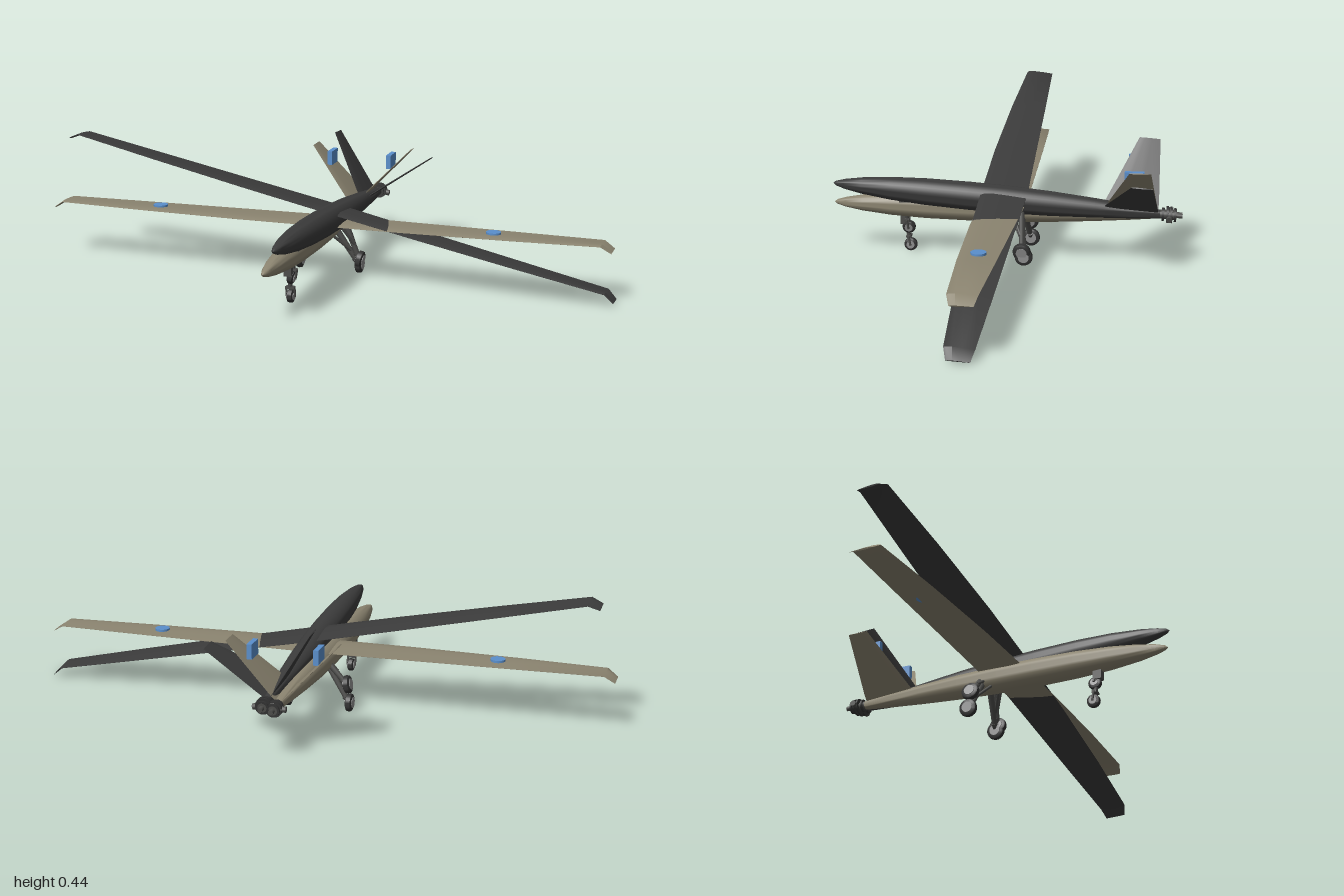
import * as THREE from 'three';
import { toCreasedNormals } from 'three/addons/utils/BufferGeometryUtils.js';

const AXIS = 0.167; // height of the fuselage centre line

function material(name, color) {
  const m = new THREE.MeshStandardMaterial({ color });
  m.name = name;
  return m;
}

function add(group, name, geometry, mat, x = 0, y = 0, z = 0) {
  const mesh = new THREE.Mesh(geometry, mat);
  mesh.name = name;
  mesh.position.set(x, y, z);
  group.add(mesh);
  return mesh;
}

// Aerofoil outline: [chord fraction from the leading edge, half-thickness fraction]
const FOIL = [[1, 0.08], [0.6, 0.75], [0.28, 1], [0.07, 0.6], [0, 0], [0.07, -0.5], [0.28, -0.8], [0.6, -0.6], [1, -0.08]];

// Skin through aerofoil sections listed from -x to +x: {x, y, lead, trail, t, nx, ny}
function loft(sections) {
  const pos = [], idx = [], n = FOIL.length;
  for (const s of sections) {
    for (const [c, h] of FOIL) {
      pos.push(s.x + s.nx * h * s.t, s.y + s.ny * h * s.t, s.lead + (s.trail - s.lead) * c);
    }
  }
  for (let i = 0; i < sections.length - 1; i++) {
    for (let j = 0; j < n; j++) {
      const k = (j + 1) % n, a = i * n + j, b = i * n + k;
      idx.push(a, b, a + n, b, b + n, a + n);
    }
  }
  const last = (sections.length - 1) * n;
  for (let j = 1; j < n - 1; j++) {
    idx.push(0, j + 1, j, last, last + j, last + j + 1);
  }
  const g = new THREE.BufferGeometry();
  g.setAttribute('position', new THREE.Float32BufferAttribute(pos, 3));
  g.setIndex(idx);
  return toCreasedNormals(g, 0.6);
}

// Full span from half-span stations [x, y, lead, trail, t, nx, ny] listed root to tip
function mirrored(half) {
  const section = (side) => ([x, y, lead, trail, t, nx, ny]) => ({ x: x * side, y, lead, trail, t, nx: nx * side, ny });
  return loft([...half.slice(1).reverse().map(section(-1)), ...half.map(section(1))]);
}

// Cylinder between two points
function strut(group, name, from, to, r0, r1, mat) {
  const a = new THREE.Vector3(...from), b = new THREE.Vector3(...to);
  const d = b.clone().sub(a);
  const mesh = add(group, name, new THREE.CylinderGeometry(r1, r0, d.length(), 12), mat);
  mesh.position.copy(a).add(b).multiplyScalar(0.5);
  mesh.quaternion.setFromUnitVectors(new THREE.Vector3(0, 1, 0), d.normalize());
}

function wheel(group, name, x, y, z, r, w, m) {
  const round = [[0, -w / 2], [r * 0.75, -w / 2], [r * 0.95, -w * 0.35], [r, 0], [r * 0.95, w * 0.35], [r * 0.75, w / 2], [0, w / 2]];
  const tyre = new THREE.LatheGeometry(round.map((p) => new THREE.Vector2(...p)), 24).rotateZ(Math.PI / 2);
  add(group, name + 'Tyre', toCreasedNormals(tyre, 0.6), m.rubber, x, y, z);
  add(group, name + 'Hub', new THREE.CylinderGeometry(r * 0.6, r * 0.6, w + 0.004, 20).rotateZ(Math.PI / 2), m.hub, x, y, z);
}

function landingGear(m) {
  const gear = new THREE.Group();
  gear.name = 'landingGear';
  // Nose leg
  strut(gear, 'noseLeg', [0, 0.145, 0.352], [0, 0.055, 0.342], 0.009, 0.007, m.metal);
  add(gear, 'noseLegCollar', new THREE.BoxGeometry(0.026, 0.035, 0.03), m.metal, 0, 0.115, 0.353);
  add(gear, 'noseFork', new THREE.BoxGeometry(0.03, 0.008, 0.016), m.metal, 0, 0.054, 0.341);
  for (const s of [-1, 1]) strut(gear, 'noseForkArm', [s * 0.014, 0.056, 0.341], [s * 0.014, 0.022, 0.335], 0.004, 0.004, m.metal);
  wheel(gear, 'nose', 0, 0.024, 0.335, 0.023, 0.02, m);
  // Main legs
  for (const s of [-1, 1]) {
    strut(gear, 'mainLeg', [s * 0.03, 0.15, -0.055], [s * 0.096, 0.045, -0.068], 0.011, 0.009, m.metal);
    strut(gear, 'mainBrace', [s * 0.025, 0.14, -0.02], [s * 0.08, 0.08, -0.06], 0.005, 0.005, m.metal);
    strut(gear, 'mainAxle', [s * 0.088, 0.05, -0.068], [s * 0.106, 0.031, -0.07], 0.009, 0.006, m.metal);
    wheel(gear, 'main', s * 0.108, 0.031, -0.07, 0.031, 0.022, m);
  }
  return gear;
}

function engine(m) {
  const group = new THREE.Group();
  group.name = 'engine';
  group.position.set(0, AXIS, 0);
  // Crankcase and stacked cooling rings
  const disc = (name, r, len, z, mat) => add(group, name, new THREE.CylinderGeometry(r, r, len, 20).rotateX(Math.PI / 2), mat, 0, 0, z);
  disc('crankcase', 0.015, 0.06, -0.545, m.metal);
  [[0.022, -0.53], [0.027, -0.545], [0.027, -0.558], [0.022, -0.571]].forEach(([r, z]) => disc('coolingRing', r, 0.007, z, m.rubber));
  disc('propellerShaft', 0.008, 0.03, -0.58, m.metal);
  // Opposed cylinders
  for (const s of [-1, 1]) {
    add(group, 'cylinder', new THREE.CylinderGeometry(0.01, 0.01, 0.018, 14).rotateZ(Math.PI / 2), m.metal, s * 0.029, 0, -0.552);
  }
  return group;
}

function aircraft(name, skin, m, pods) {
  const plane = new THREE.Group();
  plane.name = name;
  // Fuselage, listed tail to nose: [radius, z]
  const profile = [[0, -0.522], [0.015, -0.52], [0.024, -0.42], [0.033, -0.3], [0.042, -0.15], [0.047, 0], [0.048, 0.13],
    [0.0455, 0.28], [0.039, 0.4], [0.028, 0.5], [0.017, 0.56], [0.008, 0.59], [0, 0.6]];
  const body = new THREE.LatheGeometry(profile.map((p) => new THREE.Vector2(...p)), 32).rotateX(Math.PI / 2);
  add(plane, 'fuselage', toCreasedNormals(body, 0.6), skin, 0, AXIS, 0);

  // Straight wing with drooped tips
  add(plane, 'wing', mirrored([
    [0, 0.196, 0.086, -0.07, 0.006, 0, 1],
    [0.3, 0.196, 0.084, -0.061, 0.006, 0, 1],
    [0.65, 0.196, 0.072, -0.051, 0.005, 0, 1],
    [0.955, 0.196, 0.054, -0.041, 0.004, 0.3, 0.95],
    [0.99, 0.173, 0.042, -0.032, 0.003, 0.5, 0.86],
  ]), skin);

  // V tail
  add(plane, 'vTail', mirrored([
    [0, AXIS, -0.32, -0.513, 0.004, 0, 1],
    [0.03, 0.198, -0.337, -0.512, 0.004, -0.72, 0.69],
    [0.18, 0.356, -0.425, -0.496, 0.0025, -0.72, 0.69],
  ]), skin);

  plane.add(engine(m), landingGear(m));

  // Blue markers on the wings and tail fins
  if (pods) {
    for (const s of [-1, 1]) {
      add(plane, 'wingDisc', new THREE.CylinderGeometry(0.025, 0.025, 0.014, 28), m.blue, s * 0.595, 0.2, 0.012);
      add(plane, 'finBlock', new THREE.BoxGeometry(0.017, 0.05, 0.065), m.blue, s * 0.11, 0.317, -0.438);
    }
  }
  return plane;
}

export function createModel() {
  const m = {
    khaki: material('khaki', 0x8b8470),
    charcoal: material('charcoal', 0x3b3b3b),
    metal: material('darkMetal', 0x4c4c4a),
    rubber: material('rubber', 0x333333),
    hub: material('hubGrey', 0x8e8e8e),
    blue: material('blue', 0x5a8fcc),
  };
  const model = new THREE.Group();
  model.name = 'twoAircraft';

  // Level aircraft
  const level = aircraft('levelAircraft', m.khaki, m, true);
  level.position.x = -0.01;

  // Banked aircraft, nose slightly raised, turning about its fuselage centre
  const banked = new THREE.Group();
  banked.name = 'bankedAircraft';
  const inner = aircraft('bankedAirframe', m.charcoal, m, false);
  inner.position.y = -AXIS;
  banked.add(inner);
  banked.position.set(0.024, 0.208, -0.003);
  banked.rotation.set(-0.06, 0, -0.211);

  model.add(level, banked);
  return model;
}
